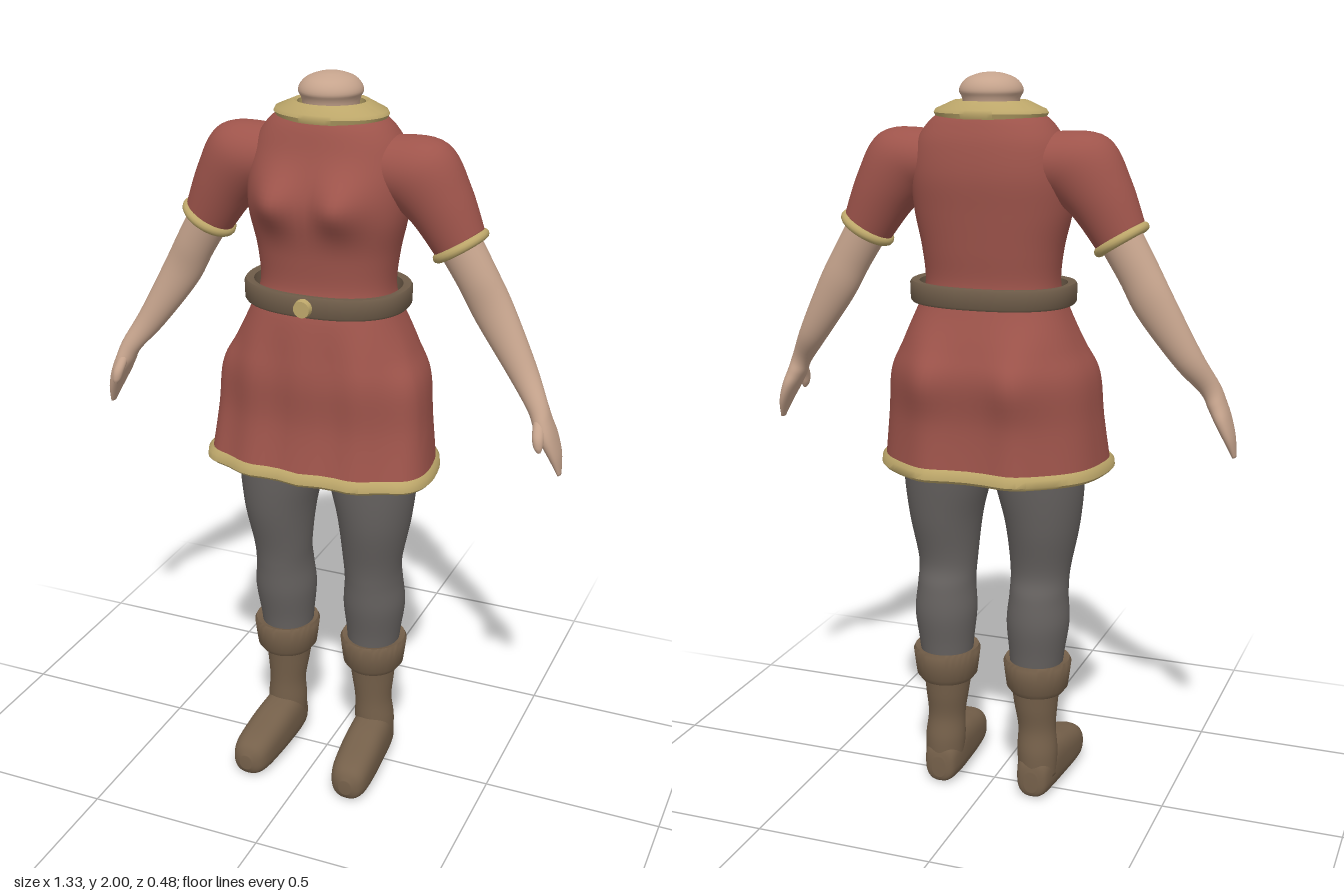
import * as THREE from 'three';
import { toCreasedNormals } from 'three/addons/utils/BufferGeometryUtils.js';

const paint = (name, color) => {
  const m = new THREE.MeshStandardMaterial({ color });
  m.name = name;
  return m;
};

// Smooth interpolation of one number between four neighbours
const spline = (a, b, c, d, t) =>
  b + 0.5 * t * (c - a + t * (2 * a - 5 * b + 4 * c - d + t * (3 * (b - c) + d - a)));

// Skin over rings listed from bottom to top: [x, y, z, halfWidth, halfDepth, squareness, tilt]
function loft(sections, { sub = 6, seg = 40, cap = true, warp } = {}) {
  const full = sections.map(([x, y, z, a, b, n = 2, tilt = 0]) => [x, y, z, a, b, n, tilt]);
  const at = (i) => full[Math.max(0, Math.min(full.length - 1, i))];
  const rings = [];
  for (let i = 0; i < full.length - 1; i++) {
    for (let k = 0; k < sub; k++) {
      rings.push(full[i].map((v, c) => spline(at(i - 1)[c], v, at(i + 1)[c], at(i + 2)[c], k / sub)));
    }
  }
  rings.push(full[full.length - 1]);

  const pos = [], idx = [], p = new THREE.Vector3();
  const bend = (v, n) => Math.sign(v) * Math.abs(v) ** (2 / n);
  const put = () => { if (warp) warp(p); pos.push(p.x, p.y, p.z); };
  for (const [x, y, z, a, b, n, tilt] of rings) {
    for (let j = 0; j < seg; j++) {
      const t = (j / seg) * Math.PI * 2;
      const u = a * bend(Math.cos(t), n);
      p.set(x + u * Math.cos(tilt), y + u * Math.sin(tilt), z + b * bend(Math.sin(t), n));
      put();
    }
  }
  for (let i = 0; i < rings.length - 1; i++) {
    for (let j = 0; j < seg; j++) {
      const a = i * seg + j, b = i * seg + (j + 1) % seg;
      idx.push(a, a + seg, b, b, a + seg, b + seg);
    }
  }
  if (cap) {
    const low = pos.length / 3, base = (rings.length - 1) * seg;
    for (const r of [rings[0], rings[rings.length - 1]]) { p.set(r[0], r[1], r[2]); put(); }
    for (let j = 0; j < seg; j++) {
      const k = (j + 1) % seg;
      idx.push(low, j, k, low + 1, base + k, base + j);
    }
  }
  const g = new THREE.BufferGeometry();
  g.setAttribute('position', new THREE.Float32BufferAttribute(pos, 3));
  g.setIndex(idx);
  g.computeVertexNormals();
  return g;
}

// Closed band: a profile of [y, halfWidth, halfDepth] from inner bottom, around outside, to inner top
function band(x, z, n, profile, warp) {
  const rows = [...profile, profile[0]].map(([y, a, b]) => [x, y, z, a, b, n]);
  return toCreasedNormals(loft(rows, { sub: 1, seg: 64, cap: false, warp }), 0.8);
}

// Body shape under the cloth: bust, seat and skirt folds
function drape(p) {
  const hill = (v, c, w) => Math.exp(-(((v - c) / w) ** 2));
  const ax = Math.abs(p.x);
  if (p.z > 0.03) p.z += 0.05 * hill(ax, 0.09, 0.065) * hill(p.y, 1.695, 0.065);
  const skirt = THREE.MathUtils.smoothstep(1.42 - p.y, 0, 0.18);
  if (p.z < -0.03) p.z -= skirt * hill(ax, 0.14, 0.07) * (0.022 + 0.012 * hill(p.y, 1.21, 0.07));
  if (p.z > 0.05) p.z += skirt * 0.006 * Math.cos(p.x * 45);
  p.x *= 1 + 0.45 * p.z * skirt;
}

export function createModel() {
  const skin = paint('skin', 0xc6a48d);
  const red = paint('tunic red', 0x9e544b);
  red.side = THREE.DoubleSide;
  const gold = paint('gold trim', 0xbda76a);
  const leather = paint('belt leather', 0x6e5c49);
  const cloth = paint('tights grey', 0x65615f);
  const boot = paint('boot brown', 0x75604a);

  const model = new THREE.Group();
  model.name = 'headlessFigure';
  const add = (name, geometry, material) => {
    const mesh = new THREE.Mesh(geometry, material);
    mesh.name = name;
    model.add(mesh);
    return mesh;
  };

  // Neck stump
  add('neck', loft([
    [0, 1.8, -0.027, 0.07, 0.07], [0, 1.92, -0.025, 0.072, 0.074], [0, 1.955, -0.024, 0.083, 0.085],
    [0, 1.982, -0.024, 0.066, 0.07], [0, 1.996, -0.024, 0.034, 0.036], [0, 2, -0.024, 0.008, 0.008],
  ]), skin);

  // Tunic, open at hem and neck
  add('tunic', loft([
    [0, 0.96, -0.007, 0.308, 0.2, 2.7], [0, 1.1, -0.015, 0.294, 0.185, 2.6],
    [0, 1.22, -0.02, 0.283, 0.193, 2.5], [0, 1.3, -0.015, 0.246, 0.18, 2.4],
    [0, 1.4, -0.006, 0.2, 0.155, 2.3], [0, 1.46, -0.01, 0.182, 0.132, 2.3],
    [0, 1.55, -0.012, 0.19, 0.138, 2.3], [0, 1.65, -0.01, 0.211, 0.15, 2.3],
    [0, 1.74, -0.019, 0.214, 0.149, 2.3], [0, 1.82, -0.027, 0.2, 0.133, 2.2],
    [0, 1.87, -0.027, 0.17, 0.118, 2.1], [0, 1.9, -0.027, 0.135, 0.104, 2],
  ], { seg: 80, cap: false, warp: drape }), red);

  // Trim, belt and buckle
  add('hem', band(0, -0.007, 2.7, [
    [0.955, 0.302, 0.195], [0.949, 0.312, 0.204], [0.957, 0.319, 0.211],
    [0.975, 0.317, 0.209], [0.985, 0.308, 0.2], [0.98, 0.302, 0.195],
  ], drape), gold);
  add('collar', band(0, -0.027, 2, [
    [1.89, 0.092, 0.086], [1.886, 0.145, 0.112], [1.899, 0.152, 0.117],
    [1.908, 0.147, 0.113], [1.93, 0.096, 0.09], [1.925, 0.088, 0.082],
  ]), gold);
  add('belt', band(0, -0.008, 2.3, [
    [1.408, 0.198, 0.143], [1.406, 0.219, 0.164], [1.412, 0.223, 0.168],
    [1.455, 0.225, 0.165], [1.462, 0.221, 0.161], [1.46, 0.2, 0.143],
  ]), leather);
  const buckle = add('buckle', new THREE.CylinderGeometry(0.022, 0.026, 0.02, 24), gold);
  buckle.rotation.x = Math.PI / 2;
  buckle.position.set(0, 1.432, 0.162);

  for (const s of [1, -1]) {
    const side = s > 0 ? 'left' : 'right';
    const limb = (rows) => loft(rows.map(([x, y, z, a, b, n = 2, tilt = 0]) => [s * x, y, z, a, b, n, s * tilt]));

    // Sleeve and its cuff
    add(side + 'Sleeve', limb([
      [0.355, 1.59, -0.027, 0.07, 0.066, 2, 0.55], [0.3, 1.69, -0.025, 0.088, 0.083, 2, 0.6],
      [0.24, 1.762, -0.022, 0.106, 0.093, 2, 0.85], [0.16, 1.775, -0.025, 0.085, 0.09, 2, 1.25],
      [0.1, 1.775, -0.025, 0.07, 0.08, 2, 1.4],
    ]), red);
    const cuff = new THREE.TorusGeometry(0.066, 0.013, 12, 40);
    cuff.rotateX(Math.PI / 2).rotateZ(s * 0.55).translate(s * 0.355, 1.588, -0.027);
    add(side + 'SleeveCuff', cuff, gold);

    // Bare arm with mitten-like hand and thumb
    add(side + 'Arm', limb([
      [0.658, 1.027, 0.022, 0.005, 0.012, 2, 0.3], [0.645, 1.075, 0.02, 0.014, 0.034, 2.2, 0.3],
      [0.625, 1.125, 0.022, 0.021, 0.045, 2.2, 0.35], [0.607, 1.165, 0.024, 0.025, 0.039, 2.1, 0.42],
      [0.588, 1.207, 0.018, 0.028, 0.03, 2, 0.5], [0.535, 1.285, -0.013, 0.039, 0.038, 2, 0.55],
      [0.45, 1.42, -0.032, 0.054, 0.043, 2, 0.55], [0.4, 1.51, -0.03, 0.055, 0.049, 2, 0.55],
      [0.34, 1.61, -0.027, 0.058, 0.055, 2, 0.55],
    ]), skin);
    add(side + 'Thumb', limb([
      [0.614, 1.103, 0.077, 0.005, 0.005], [0.611, 1.118, 0.075, 0.012, 0.012],
      [0.607, 1.145, 0.066, 0.015, 0.016], [0.6, 1.185, 0.035, 0.014, 0.018],
    ]), skin);

    // Leg in tights, running up under the skirt
    add(side + 'Leg', limb([
      [0.133, 0.36, -0.025, 0.07, 0.075], [0.135, 0.43, -0.025, 0.077, 0.08],
      [0.137, 0.52, -0.022, 0.087, 0.092], [0.137, 0.6, -0.015, 0.081, 0.09],
      [0.137, 0.67, -0.003, 0.083, 0.086], [0.142, 0.8, -0.002, 0.102, 0.112],
      [0.132, 0.94, -0.007, 0.124, 0.127], [0.125, 1.1, -0.015, 0.12, 0.13],
      [0.12, 1.25, -0.015, 0.1, 0.11],
    ]), cloth);

    // Boot: shaft, turned-down top and foot
    add(side + 'BootShaft', limb([
      [0.142, 0.06, -0.03, 0.053, 0.054], [0.14, 0.13, -0.028, 0.057, 0.058],
      [0.137, 0.2, -0.024, 0.053, 0.054], [0.134, 0.27, -0.026, 0.061, 0.062],
      [0.132, 0.34, -0.026, 0.07, 0.07],
    ]), boot);
    add(side + 'BootTop', band(s * 0.136, -0.022, 2, [
      [0.315, 0.062, 0.064], [0.312, 0.074, 0.077], [0.328, 0.086, 0.088], [0.365, 0.091, 0.093],
      [0.4, 0.095, 0.097], [0.41, 0.09, 0.092], [0.402, 0.07, 0.072],
    ]), boot);
    // Rows run heel to toe as [x, z, -y], then turn to point forward
    const foot = limb([
      [0.14, -0.088, -0.05, 0.02, 0.03, 2.3], [0.14, -0.075, -0.06, 0.044, 0.057, 2.6],
      [0.141, -0.02, -0.075, 0.056, 0.074, 2.7], [0.144, 0.05, -0.073, 0.059, 0.072, 2.7],
      [0.148, 0.12, -0.066, 0.059, 0.065, 2.7], [0.152, 0.19, -0.058, 0.055, 0.057, 2.6],
      [0.154, 0.225, -0.052, 0.043, 0.046, 2.4], [0.155, 0.241, -0.05, 0.018, 0.022, 2.2],
    ]);
    foot.rotateX(Math.PI / 2);
    add(side + 'Foot', foot, boot);
  }
  return model;
}
